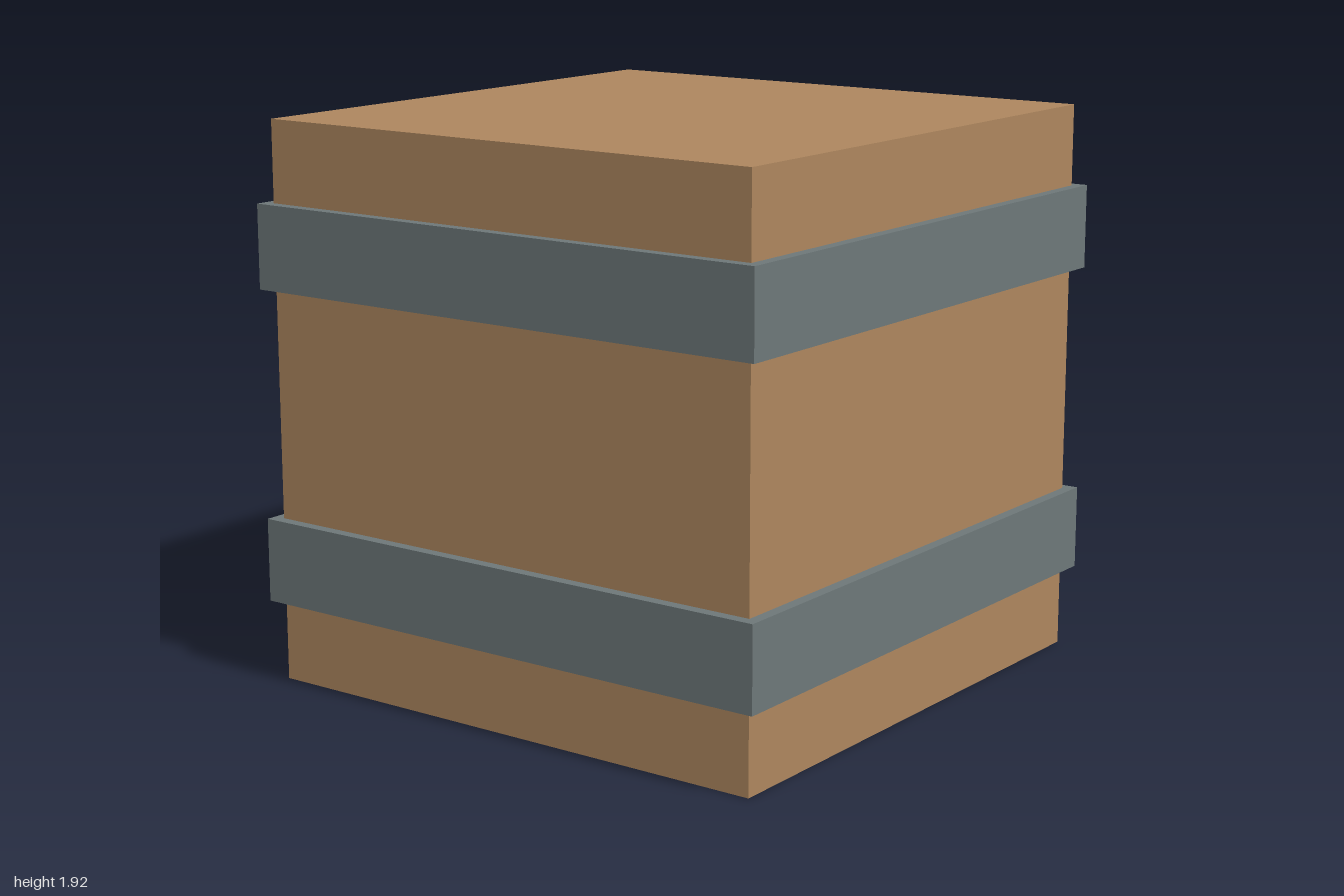
import * as THREE from 'three';

const SIZE = 1.923; // edge of the wooden cube
const BAND_HEIGHT = 0.288;

export function createModel() {
  const group = new THREE.Group();
  group.name = 'crate';
  const wood = new THREE.MeshStandardMaterial({ color: 0xad865e });
  const metal = new THREE.MeshStandardMaterial({ color: 0x6d7778 });

  const addBox = (name, width, height, y, material) => {
    const mesh = new THREE.Mesh(new THREE.BoxGeometry(width, height, width), material);
    mesh.name = name;
    mesh.position.y = y;
    group.add(mesh);
  };

  // Wooden body
  addBox('body', SIZE, SIZE, SIZE / 2, wood);

  // Metal bands wrapped around the body, mirrored about its middle
  for (const [name, side] of [['lowerBand', -1], ['upperBand', 1]]) {
    addBox(name, 2, BAND_HEIGHT, SIZE / 2 + side * 0.538, metal);
  }
  return group;
}
